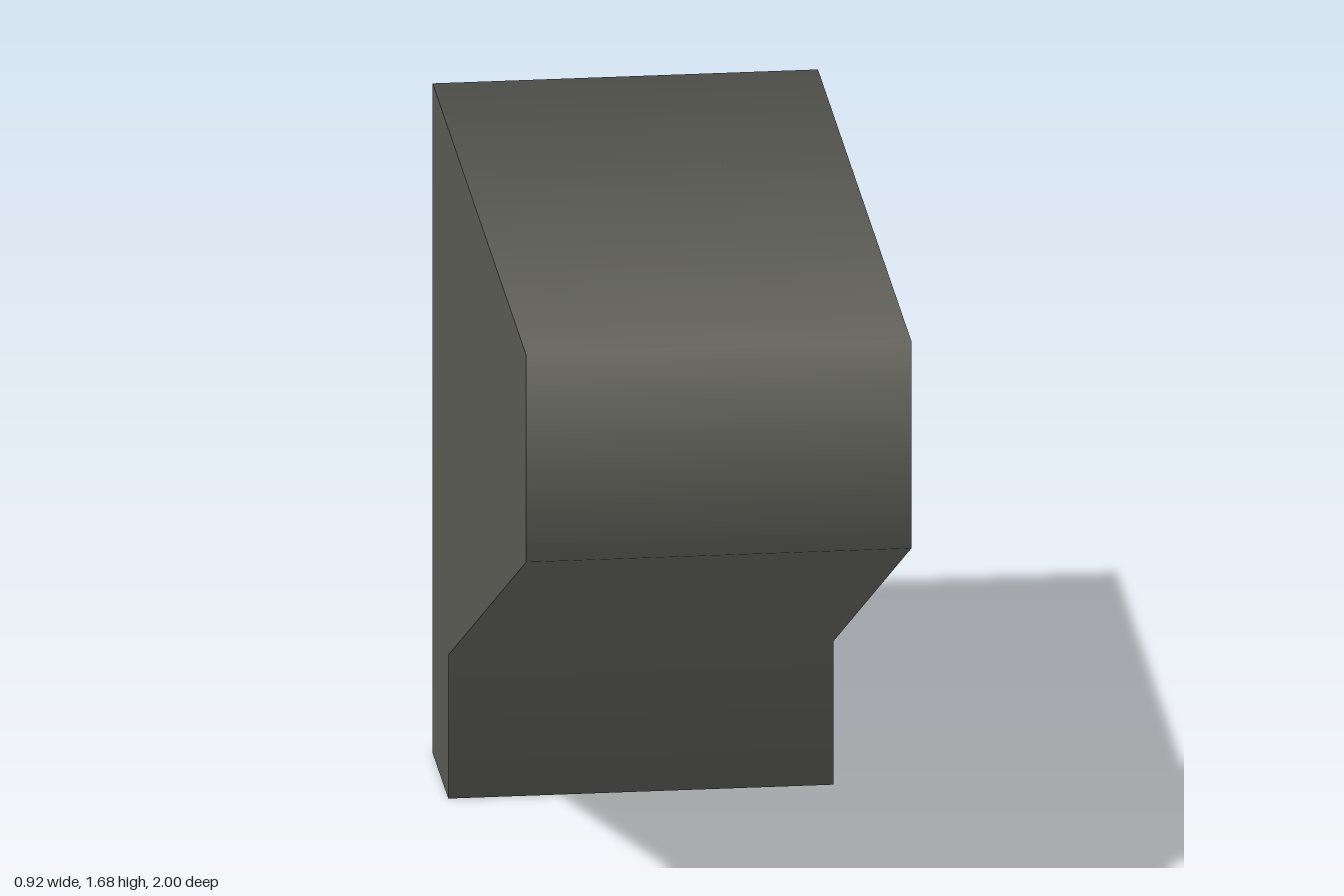
import * as THREE from 'three';

const WIDTH = 0.92;

// Average the normals around the side profile so its faces shade smoothly; end caps stay flat
function smoothAroundProfile(geometry) {
  const pos = geometry.attributes.position;
  const nor = geometry.attributes.normal;
  const sums = new Map();
  const key = (i) => `${pos.getY(i).toFixed(3)},${pos.getZ(i).toFixed(3)}`;
  const n = new THREE.Vector3();
  const isCap = (i) => Math.abs(nor.getX(i)) > 0.5;
  for (let i = 0; i < pos.count; i++) {
    if (isCap(i)) continue;
    if (!sums.has(key(i))) sums.set(key(i), new THREE.Vector3());
    sums.get(key(i)).add(n.fromBufferAttribute(nor, i));
  }
  for (let i = 0; i < pos.count; i++) {
    if (isCap(i)) continue;
    n.copy(sums.get(key(i))).normalize();
    nor.setXYZ(i, n.x, n.y, n.z);
  }
}

export function createModel() {
  const group = new THREE.Group();
  group.name = 'bracket';

  const stone = new THREE.MeshStandardMaterial({ color: 0x62625b });
  stone.name = 'dark grey stone';

  // Side profile, drawn as (-z, y)
  const profile = new THREE.Shape([
    [-1, 1.16], [0.665, 0.36], [0.665, 0], [1, 0], [1, 1.68], [-1, 1.68],
  ].map(([x, y]) => new THREE.Vector2(x, y)));

  const geometry = new THREE.ExtrudeGeometry(profile, { depth: WIDTH, bevelEnabled: false });
  geometry.translate(0, 0, -WIDTH / 2);
  geometry.rotateY(Math.PI / 2);
  smoothAroundProfile(geometry);

  // Wall bracket with sloped underside and narrow foot at the back
  const body = new THREE.Mesh(geometry, stone);
  body.name = 'bracketBody';
  group.add(body);
  return group;
}
